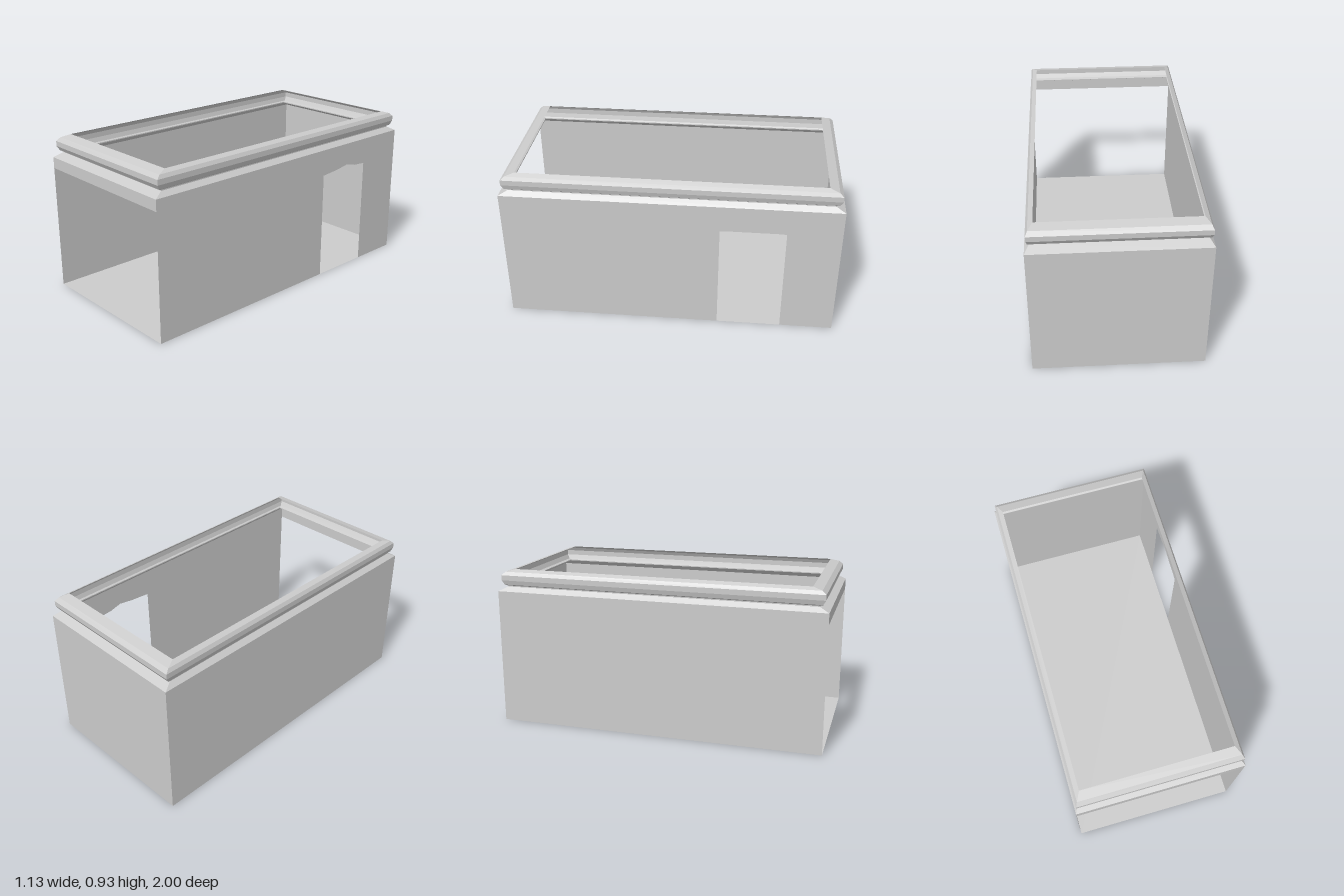
import * as THREE from 'three';

const W = 0.4795, L = 0.959, H = 0.8; // half width, half length, wall height

export function createModel() {
  const model = new THREE.Group();
  model.name = 'openRoom';
  const room = new THREE.Group();
  room.name = 'room';
  room.rotation.y = 0.0925; // the room stands slightly turned
  model.add(room);

  const material = new THREE.MeshStandardMaterial({
    color: 0xcccccc, flatShading: true, side: THREE.DoubleSide,
  });

  // Thin panel from an outline
  function panel(name, points, place) {
    const shape = new THREE.Shape(points.map(([u, v]) => new THREE.Vector2(u, v)));
    const mesh = new THREE.Mesh(new THREE.ShapeGeometry(shape), material);
    mesh.name = name;
    place(mesh);
    room.add(mesh);
  }
  const rect = (a, b, c, d) => [[a, b], [c, b], [c, d], [a, d]];

  panel('floor', rect(-W, -L, W, L), (m) => { m.rotation.x = -Math.PI / 2; });
  panel('backWall', rect(-W, 0, W, H), (m) => { m.position.z = -L; m.rotation.y = Math.PI; });
  panel('frontLintel', rect(-W, 0.735, W, H), (m) => { m.position.z = L; });
  panel('rightWall', rect(-L, 0, L, H), (m) => { m.position.x = -W; m.rotation.y = -Math.PI / 2; });

  // Side wall with a doorway under a low pointed arch
  panel('leftWallWithDoorway', [
    [-L, 0], [-0.654, 0], [-0.654, 0.643], [-0.565, 0.65], [-0.494, 0.668],
    [-0.4, 0.653], [-0.282, 0.643], [-0.282, 0], [L, 0], [L, H], [-L, H],
  ], (m) => { m.position.x = W; m.rotation.y = -Math.PI / 2; });

  // Cornice: sloped ledge, neck and rounded moulding, as a four-sided lathe
  const profile = [
    [1, 0.8], [0.945, 0.826], [0.945, 0.832], [0.963, 0.838], [0.979, 0.864],
    [0.979, 0.894], [0.955, 0.914], [0.9, 0.928],
  ].map(([s, y]) => new THREE.Vector2(s * Math.SQRT2, y));
  const cornice = new THREE.Mesh(new THREE.LatheGeometry(profile, 4, Math.PI / 4), material);
  cornice.name = 'cornice';
  cornice.scale.set(W, 1, L);
  room.add(cornice);

  return model;
}
